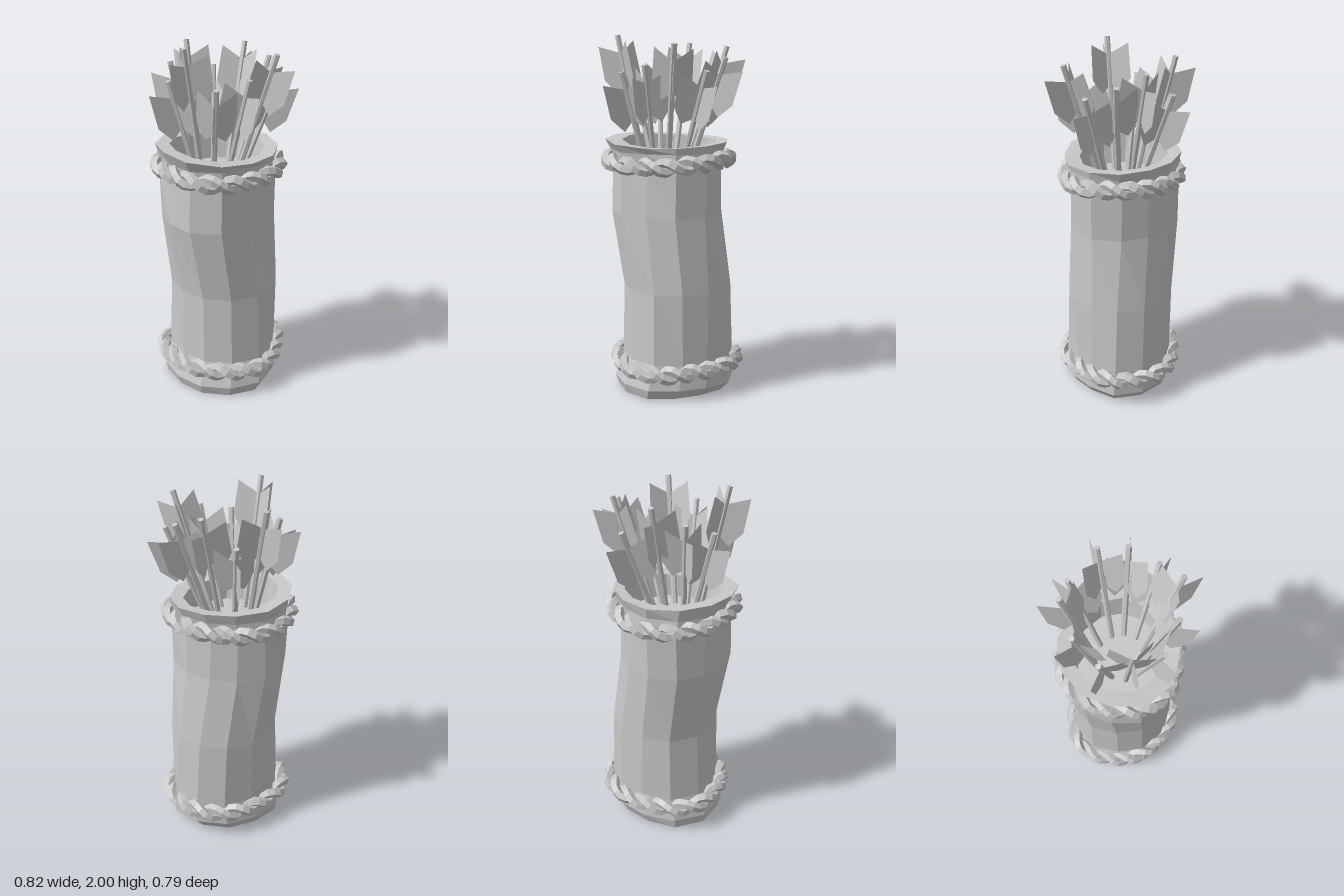
import * as THREE from 'three';

const SIDES = 12;
const grey = new THREE.MeshStandardMaterial({ color: 0xc8c8c8, flatShading: true, side: THREE.DoubleSide });
grey.name = 'plain grey';

function mesh(name, geometry) {
  const m = new THREE.Mesh(geometry, grey);
  m.name = name;
  return m;
}

// Bulge of a round outline at its four corners: front left, front right, back right, back left
function bulge(a, corners) {
  const quadrant = Math.floor(a / (Math.PI / 2)) % 4;
  return corners[quadrant] * Math.sin(2 * a) ** 2;
}

// Skin a stack of rings: [y, centreX, centreZ, radiusX, radiusZ, corner bulges, rimWave]
function skin(rings) {
  const pos = [], idx = [];
  rings.forEach(([y, cx, cz, rx, rz, corners = [0, 0, 0, 0], wave = 0], i) => {
    for (let j = 0; j < SIDES; j++) {
      const a = (j / SIDES) * Math.PI * 2;
      const b = bulge(a, corners);
      const lift = wave * (-0.7 * Math.cos(a) - Math.sin(a) + 0.6 * Math.cos(2 * a));
      pos.push(cx + (rx + b) * Math.cos(a), y + lift, cz + (rz + b) * Math.sin(a));
      if (i < rings.length - 1) {
        const p = i * SIDES + j, q = i * SIDES + (j + 1) % SIDES;
        idx.push(p, p + SIDES, q + SIDES, p, q + SIDES, q);
      }
    }
  });
  const g = new THREE.BufferGeometry();
  g.setAttribute('position', new THREE.Float32BufferAttribute(pos, 3));
  g.setIndex(idx);
  g.computeVertexNormals();
  return g;
}

// Two strands twisted round a slightly wavy ring
function rope(name, [cx, y, cz], rx, rz, corners, waveY) {
  const group = new THREE.Group();
  group.name = name;
  const turns = 9, steps = 72;
  for (let s = 0; s < 2; s++) {
    const pts = [];
    for (let i = 0; i < steps; i++) {
      const a = (i / steps) * Math.PI * 2;
      const t = a * turns + s * Math.PI;
      const r = 0.025 * Math.cos(t) + bulge(a, corners);
      const h = y + 0.027 * Math.sin(t) + waveY * Math.cos(2 * a);
      pts.push(new THREE.Vector3(cx + (rx + r) * Math.cos(a), h, cz + (rz + r) * Math.sin(a)));
    }
    const curve = new THREE.CatmullRomCurve3(pts, true);
    group.add(mesh('ropeStrand', new THREE.TubeGeometry(curve, steps, 0.029, 5, true)));
  }
  return group;
}

// Feather vane; local +x points away from the shaft, y = 0 is the shaft's end
function vaneGeometry() {
  const shape = new THREE.Shape();
  shape.moveTo(0, -0.1);
  [[0.12, -0.04], [0.125, -0.23], [0.065, -0.32], [0, -0.27]].forEach(([x, y]) => shape.lineTo(x, y));
  shape.closePath();
  return new THREE.ShapeGeometry(shape);
}

// Arrow from its foot on the inner floor to its end, with three vanes, one facing outward
function arrow(tip, foot, vane) {
  const group = new THREE.Group();
  group.name = 'arrow';
  const up = tip.clone().sub(foot);
  const length = up.length();
  up.normalize();
  const out = new THREE.Vector3(tip.x, 0, tip.z);
  out.addScaledVector(up, -out.dot(up)).normalize();
  const side = new THREE.Vector3().crossVectors(out, up);
  group.quaternion.setFromRotationMatrix(new THREE.Matrix4().makeBasis(out, up, side));
  group.position.copy(tip);
  const shaft = mesh('shaft', new THREE.CylinderGeometry(0.016, 0.016, length, 6));
  shaft.position.y = -length / 2;
  group.add(shaft);
  for (let i = 0; i < 3; i++) {
    const feather = mesh('feather', vane);
    feather.rotation.y = (i / 3) * Math.PI * 2;
    group.add(feather);
  }
  return group;
}

export function createModel() {
  const model = new THREE.Group();
  model.name = 'quiver';

  // Body with a leaning, uneven outline and closed base
  const neck = [1.37, -0.02, -0.015, 0.315, 0.305, [0.02, 0.035, 0.015, -0.02]];
  model.add(mesh('body', skin([
    [0.005, 0, 0.02, 0, 0],
    [0.005, 0, 0.02, 0.31, 0.31, [-0.05, 0, 0.04, 0]],
    [0.06, 0.015, 0.02, 0.345, 0.33, [-0.05, 0, 0.03, 0]],
    [0.2, 0.035, 0.01, 0.32, 0.305, [-0.045, 0, 0.035, 0]],
    [0.6, 0.03, 0, 0.305, 0.3, [-0.01, 0.005, 0.02, 0]],
    [1.02, -0.025, -0.02, 0.31, 0.305, [0.03, 0.035, 0, -0.025]],
    [1.28, -0.02, -0.025, 0.3, 0.3, [0.045, 0.045, 0.025, -0.03]],
    neck,
  ])));

  // Flared lip, inner wall and floor
  model.add(mesh('lip', skin([
    neck,
    [1.425, -0.025, -0.012, 0.345, 0.325, [0, 0.035, 0, -0.02], 0.014],
    [1.42, -0.02, -0.018, 0.27, 0.245, [0, 0.02, 0, -0.01], 0.014],
    [1.27, -0.02, -0.01, 0.245, 0.235],
    [1.27, -0.02, -0.01, 0, 0],
  ])));

  model.add(rope('upperRope', [-0.02, 1.315, -0.01], 0.327, 0.308, [0.015, 0.03, 0.01, -0.01], 0.014));
  model.add(rope('lowerRope', [0.02, 0.16, 0.01], 0.338, 0.318, [-0.035, -0.01, 0.035, 0.015], 0.008));

  // Arrows: end x, y, z, then foot x, z
  const vane = vaneGeometry();
  [
    [-0.035, 1.96, -0.29, -0.055, -0.13],
    [0.14, 1.8, -0.28, 0.025, -0.115],
    [0.26, 1.94, -0.145, 0.08, -0.06],
    [0.315, 1.88, 0.005, 0.1, 0.003],
    [0.275, 1.81, 0.165, 0.085, 0.07],
    [0.145, 1.95, 0.285, 0.02, 0.11],
    [-0.03, 1.84, 0.285, -0.055, 0.12],
    [-0.2, 1.8, 0.23, -0.125, 0.095],
    [-0.3, 2.0, 0.09, -0.16, 0.04],
    [-0.29, 1.8, -0.08, -0.15, -0.035],
    [-0.19, 1.87, -0.215, -0.125, -0.09],
  ].forEach(([x, y, z, fx, fz]) => {
    model.add(arrow(new THREE.Vector3(x, y, z), new THREE.Vector3(fx, 1.27, fz), vane));
  });

  return model;
}
